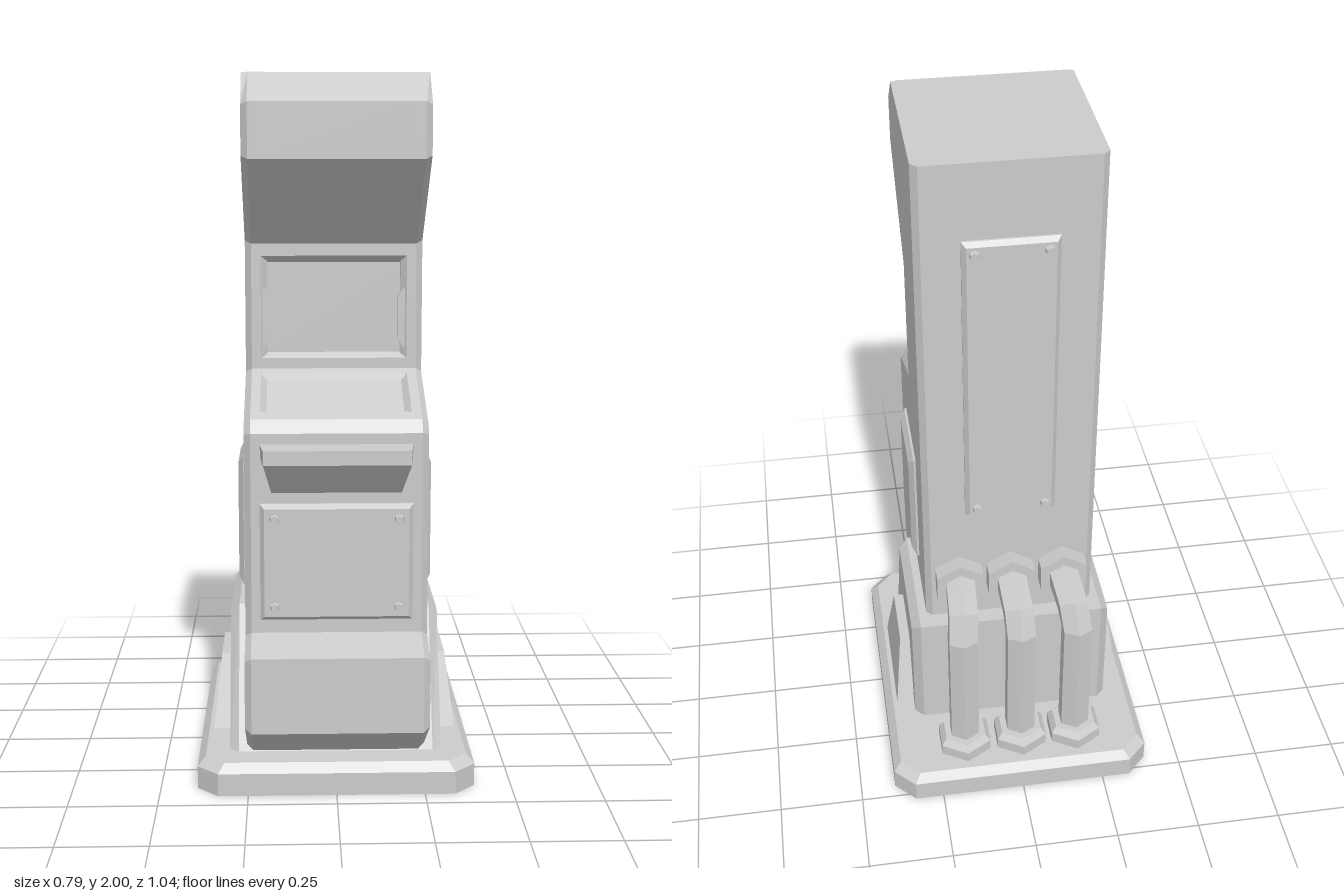
import * as THREE from 'three';

const material = new THREE.MeshStandardMaterial({ color: 0xcccccc, flatShading: true });

// Skin over a row of closed rings (counter-clockwise seen from the last one), with end caps
function loft(rings) {
  const out = [], n = rings[0].length, last = rings[rings.length - 1];
  for (let i = 0; i < rings.length - 1; i++) {
    for (let j = 0; j < n; j++) {
      const k = (j + 1) % n, [p, q] = [rings[i], rings[i + 1]];
      out.push(...p[j], ...p[k], ...q[k], ...p[j], ...q[k], ...q[j]);
    }
  }
  for (let j = 1; j < n - 1; j++) {
    out.push(...rings[0][0], ...rings[0][j + 1], ...rings[0][j]);
    out.push(...last[0], ...last[j], ...last[j + 1]);
  }
  const g = new THREE.BufferGeometry();
  g.setAttribute('position', new THREE.Float32BufferAttribute(out, 3));
  g.computeVertexNormals();
  return g;
}

// Horizontal rectangle and chamfered rectangle
const rectRing = (y, hw, back, front, hwFront = hw) =>
  [[hwFront, y, front], [hw, y, back], [-hw, y, back], [-hwFront, y, front]];
const octRing = (y, hx, back, front, c) => [
  [hx - c, y, front], [hx, y, front - c], [hx, y, back + c], [hx - c, y, back],
  [-hx + c, y, back], [-hx, y, back + c], [-hx, y, front - c], [-hx + c, y, front]];

// Side profile of [z, y] points drawn out along x, with edges chamfered by b
function profileExtrude(points, x0, x1, b = 0) {
  const shape = new THREE.Shape(points.map(([z, y]) => new THREE.Vector2(z, y)));
  const g = new THREE.ExtrudeGeometry(shape, {
    depth: x1 - x0 - 2 * b, bevelEnabled: b > 0, bevelThickness: b,
    bevelSize: b, bevelOffset: -b, bevelSegments: 1, steps: 1,
  });
  g.translate(0, 0, b - (x1 - x0) / 2);
  g.rotateY(-Math.PI / 2);
  g.translate((x0 + x1) / 2, 0, 0);
  return g;
}

export function createModel() {
  const model = new THREE.Group();
  const add = (name, geometry, parent = model) => {
    const mesh = new THREE.Mesh(geometry, material);
    mesh.name = name;
    parent.add(mesh);
    return mesh;
  };

  // Base plate with cut corners and a bevelled rim
  add('basePlate', loft([
    octRing(0, 0.395, -0.52, 0.44, 0.06), octRing(0.065, 0.395, -0.52, 0.44, 0.06),
    octRing(0.09, 0.372, -0.498, 0.418, 0.055)]));

  // Cabinet: chamfered cheeks either side of a core that holds the two recesses
  const upper = [[-0.215, 0.05], [-0.215, 2], [0.3, 2], [0.41, 1.92], [0.41, 1.77], [0.115, 1.53]];
  const lower = [[0.115, 1.17], [0.371, 1.065], [0.398, 1.03], [0.398, 0.465],
    [0.523, 0.43], [0.523, 0.215], [0.33, 0.09], [0.27, 0.05]];
  const screenRecess = [[0.115, 1.495], [0.092, 1.475], [0.092, 1.215], [0.115, 1.2]];
  const consoleRecess = [[0.141, 1.159], [0.147, 1.138], [0.322, 1.066], [0.335, 1.08]];
  const core = [...upper, ...screenRecess, lower[0], ...consoleRecess, ...lower.slice(1)];
  add('cabinetCore', profileExtrude(core, -0.21, 0.21));
  for (const s of [-1, 1]) {
    const g = profileExtrude([...upper, ...lower], s > 0 ? 0.192 : -0.255, s > 0 ? 0.255 : -0.192, 0.018);
    // keep the roof flat
    const p = g.attributes.position;
    for (let i = 0; i < p.count; i++) if (p.getY(i) > 1.97) p.setY(i, 2);
    g.computeVertexNormals();
    add(s > 0 ? 'leftCheek' : 'rightCheek', g);

    // Small lug at the side of the screen
    const x = s * 0.2;
    const lug = new THREE.Shape([[0.01, 1.22], [0.01, 1.4], [-0.002, 1.4], [-0.016, 1.375], [-0.016, 1.26], [-0.002, 1.235]]
      .map(([dx, y]) => new THREE.Vector2(x + s * dx, y)));
    add('screenLug', new THREE.ExtrudeGeometry(lug, { depth: 0.02, bevelEnabled: false })).position.z = 0.09;
  }

  // Shelf under the console
  add('shelf', loft([
    rectRing(0.865, 0.18, 0.37, 0.4), rectRing(0.96, 0.212, 0.37, 0.493, 0.2),
    rectRing(1.0, 0.215, 0.37, 0.493, 0.2)]));

  // Skirt around the foot and the wedges on its sides
  add('skirt', profileExtrude(
    [[0.354, 0.05], [0.155, 0.477], [-0.265, 0.477], [-0.265, 0.05]], -0.305, 0.305, 0.026));
  add('sideWedges', loft([rectRing(0.08, 0.36, -0.2, 0.157), rectRing(0.3, 0.335, -0.122, 0.08)]));

  // Raised panels with bevelled edges and optional corner screws
  function panel(name, w, h, depth, bevel, screwInset = 0) {
    const group = new THREE.Group();
    group.name = name;
    const ring = (z, c) => [[w - c, h - c, z], [c - w, h - c, z], [c - w, c - h, z], [w - c, c - h, z]];
    add(name + 'Plate', loft([ring(-0.01, 0), ring(depth * 0.3, 0), ring(depth, bevel)]), group);
    if (screwInset) {
      for (const sx of [-1, 1]) for (const sy of [-1, 1]) {
        const screw = add('screw', new THREE.CylinderGeometry(0.011, 0.015, 0.016, 6), group);
        screw.rotation.x = Math.PI / 2;
        screw.position.set(sx * (w - screwInset), sy * (h - screwInset), depth + 0.004);
      }
    }
    model.add(group);
    return group;
  }
  panel('frontPanel', 0.212, 0.165, 0.022, 0.012, 0.04).position.set(0, 0.67, 0.398);
  const back = panel('backPanel', 0.132, 0.455, 0.02, 0.012, 0.033);
  back.position.set(0, 1.325, -0.215);
  back.rotation.y = Math.PI;
  for (const s of [-1, 1]) {
    const side = panel(s > 0 ? 'leftPanel' : 'rightPanel', 0.135, 0.188, 0.021, 0.022);
    side.position.set(s * 0.255, 0.747, 0.105);
    side.rotation.y = s * Math.PI / 2;
  }

  // Three six-sided pipes running from the base into the back
  for (const [footX, wallX] of [[-0.178, -0.158], [-0.008, 0], [0.166, 0.155]]) {
    const path = [[footX, 0.1, -0.387], [footX, 0.53, -0.387], [(footX + wallX) / 2, 0.597, -0.36],
      [wallX, 0.625, -0.265], [wallX, 0.625, -0.2]].map((p) => new THREE.Vector3(...p));
    const rings = path.map((p, i) => {
      const t = new THREE.Vector3();
      if (i > 0) t.add(p.clone().sub(path[i - 1]).normalize());
      if (i < path.length - 1) t.add(path[i + 1].clone().sub(p).normalize());
      t.x = 0;
      t.normalize();
      return Array.from({ length: 6 }, (_, k) => {
        const a = Math.PI / 6 + k * Math.PI / 3, c = 0.049 * Math.cos(a), s = 0.049 * Math.sin(a);
        return [p.x + c, p.y + s * t.z, p.z - s * t.y];
      });
    });
    add('pipe', loft(rings));
    add('pipeFoot', new THREE.CylinderGeometry(0.07, 0.087, 0.02, 6)).position.set(footX, 0.135, -0.387);
    add('pipeFootFlange', new THREE.CylinderGeometry(0.087, 0.087, 0.045, 6)).position.set(footX, 0.1025, -0.387);
    const collar = add('pipeCollar', new THREE.CylinderGeometry(0.08, 0.08, 0.06, 6));
    collar.rotation.x = Math.PI / 2;
    collar.position.set(wallX, 0.625, -0.235);
  }

  return model;
}
